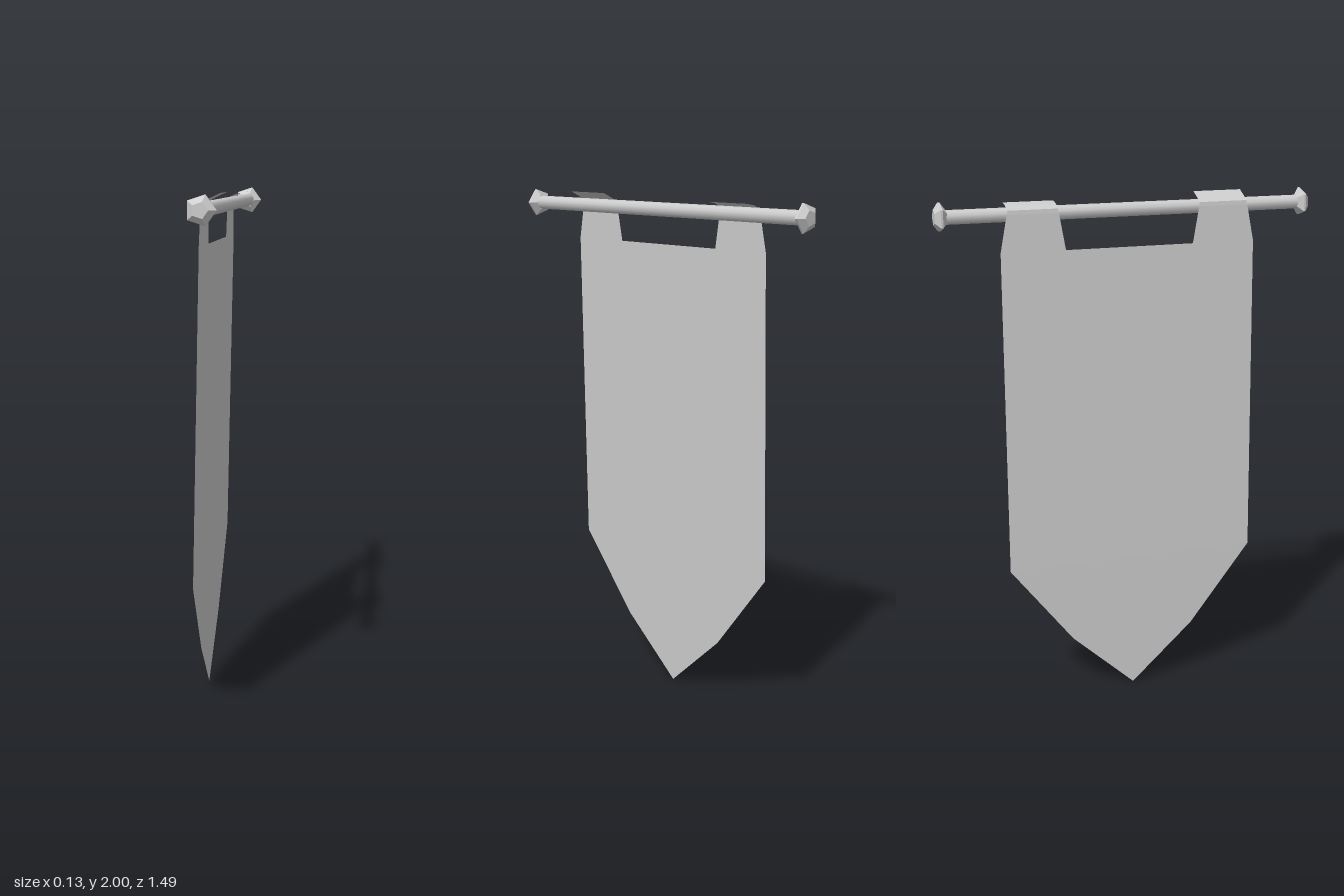
import * as THREE from 'three';

export function createModel() {
  const group = new THREE.Group();
  const poleX = 0.005, poleY = 1.947;
  const smooth = new THREE.MeshStandardMaterial({ color: 0xcccccc });
  const faceted = new THREE.MeshStandardMaterial({ color: 0xcccccc, flatShading: true });
  const cloth = new THREE.MeshStandardMaterial({ color: 0xcccccc, flatShading: true, side: THREE.DoubleSide });

  const add = (name, geometry, material) => {
    const mesh = new THREE.Mesh(geometry, material);
    mesh.name = name;
    group.add(mesh);
    return mesh;
  };

  // Horizontal pole along z
  add('pole', new THREE.CylinderGeometry(0.027, 0.027, 1.42, 10).rotateX(Math.PI / 2), smooth)
    .position.set(poleX, poleY, 0);

  // Five-sided finials on both pole ends
  const profile = [[0, 0], [0.03, 0], [0.056, 0.018], [0.056, 0.026], [0.03, 0.045], [0, 0.045]]
    .map(([r, y]) => new THREE.Vector2(r, y));
  for (const side of [1, -1]) {
    const finial = add(side > 0 ? 'frontFinial' : 'backFinial',
      new THREE.LatheGeometry(profile, 5, Math.PI / 2), faceted);
    finial.rotation.x = side * Math.PI / 2;
    finial.position.set(poleX, poleY, side * 0.7);
  }

  // Banner sheet: half outline mirrored, leaning away from the pole towards its tip
  const half = [[0.255, 0.23], [0.507, 0.55], [0.507, 1.81], [0.48, 1.95], [0.28, 1.95], [0.255, 1.81]];
  const outline = [[0, 0], ...half, ...half.map(([u, v]) => [-u, v]).reverse()];
  const sheet = new THREE.ShapeGeometry(new THREE.Shape(outline.map(([u, v]) => new THREE.Vector2(u, v))));
  sheet.rotateY(Math.PI / 2);
  const p = sheet.attributes.position;
  for (let i = 0; i < p.count; i++) p.setX(i, -0.07 + 0.0205 * p.getY(i));
  sheet.computeVertexNormals();
  add('banner', sheet, cloth);

  // Hanging loops folded over the pole, with a loose front edge
  for (const [name, z, tipY] of [['frontLoop', 0.38, 2.0], ['backLoop', -0.38, 1.988]]) {
    const path = [[-0.03, 1.945], [-0.028, 1.966], [0, 1.981], [0.04, tipY]];
    const strip = new THREE.PlaneGeometry(0.195, 1, 1, path.length - 1);
    const q = strip.attributes.position;
    for (let i = 0; i < q.count; i++) {
      const [x, y] = path[Math.floor(i / 2)];
      q.setXYZ(i, x, y, z + q.getX(i));
    }
    strip.computeVertexNormals();
    add(name, strip, cloth);
  }

  return group;
}
